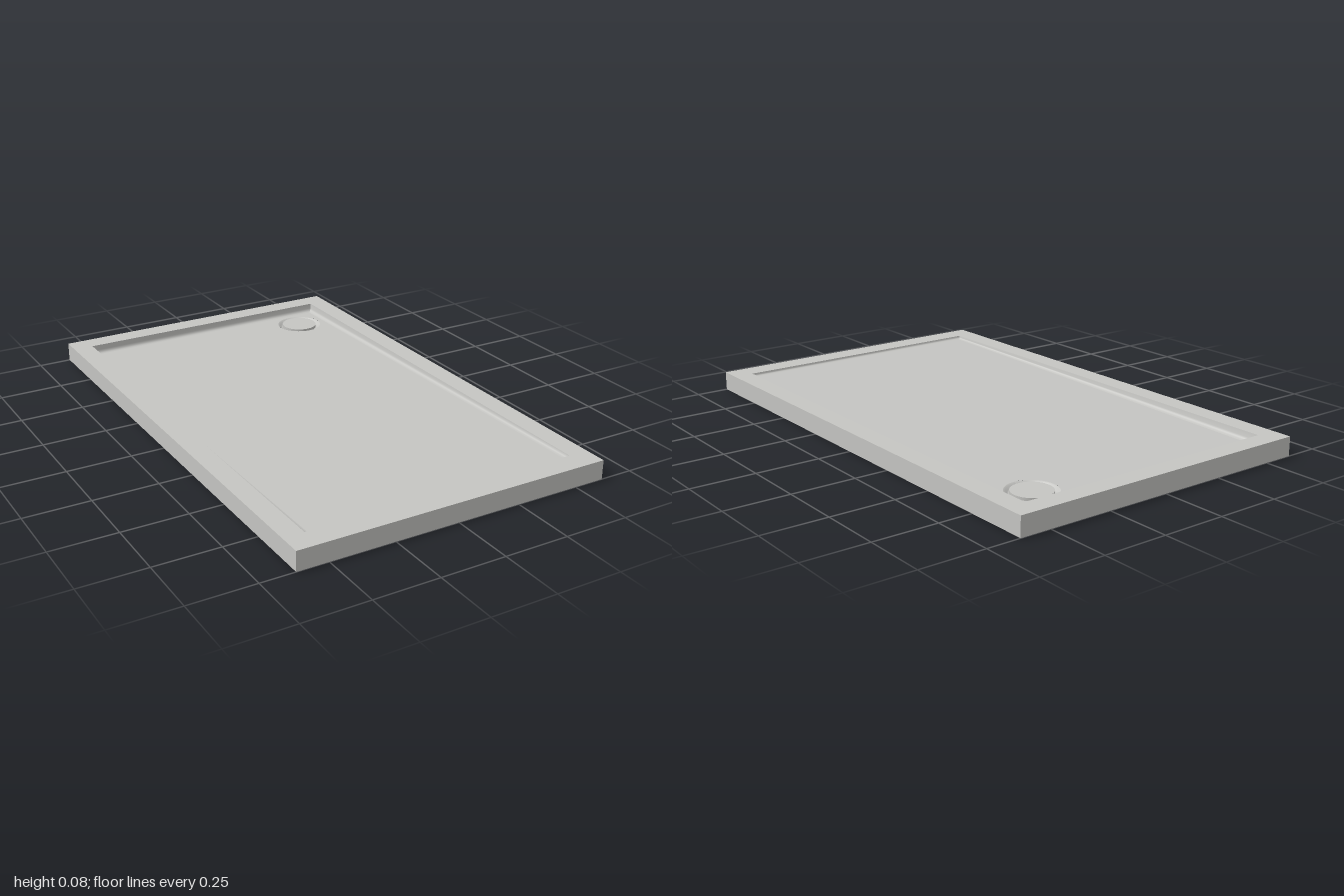
import * as THREE from 'three';

const HX = 0.62, HZ = 1, H = 0.075;                       // outer half sizes and height
const BASIN = { x0: -0.54, x1: 0.54, z0: -0.92, z1: 0.912 };
const DRAIN = { x: 0.405, z: -0.79, r: 0.075, dip: 0.095 };
const FILLET = 0.018;
const floorY = z => 0.052 + 0.013 * z;                    // floor falls towards the back

// Four strips (sharp corners, smooth profile) following a list of rectangle rings
function rectStrips(rings) {
  const pos = [], idx = [];
  for (let side = 0; side < 4; side++) {
    const base = pos.length / 3;
    for (const ring of rings) pos.push(...ring[side], ...ring[(side + 1) % 4]);
    for (let i = 0; i < rings.length - 1; i++) {
      const a = base + i * 2;
      idx.push(a, a + 2, a + 1, a + 1, a + 2, a + 3);
    }
  }
  const geo = new THREE.BufferGeometry();
  geo.setAttribute('position', new THREE.Float32BufferAttribute(pos, 3));
  geo.setIndex(idx);
  geo.computeVertexNormals();
  return geo;
}

// Corners of a rectangle, counter-clockwise from above, with height given by y(z)
function ring(x0, x1, z0, z1, y) {
  return [[x0, z1], [x1, z1], [x1, z0], [x0, z0]].map(([x, z]) => [x, y(z), z]);
}

function rectPath(path, x0, x1, z0, z1) {
  path.moveTo(x0, -z1);
  path.lineTo(x1, -z1);
  path.lineTo(x1, -z0);
  path.lineTo(x0, -z0);
  path.closePath();
  return path;
}

export function createModel() {
  const model = new THREE.Group();
  model.name = 'showerTray';
  const enamel = new THREE.MeshStandardMaterial({ color: 0xc5c5c2, side: THREE.DoubleSide });
  enamel.name = 'light grey enamel';
  const add = (name, geo) => {
    const mesh = new THREE.Mesh(geo, enamel);
    mesh.name = name;
    model.add(mesh);
    return mesh;
  };
  const { x0, x1, z0, z1 } = BASIN;

  // Outer skirt, open underneath
  add('skirt', rectStrips([H, 0].map(y => ring(-HX, HX, -HZ, HZ, () => y))));

  // Flat rim around the basin
  const rim = rectPath(new THREE.Shape(), -HX, HX, -HZ, HZ);
  rim.holes.push(rectPath(new THREE.Path(), x0, x1, z0, z1));
  add('rim', new THREE.ShapeGeometry(rim).rotateX(-Math.PI / 2).translate(0, H, 0));

  // Basin walls with a small fillet at the foot: [inset, share of depth]
  const profile = [[0, 0], [0.002, 0.6], [0.005, 0.82], [0.01, 0.95], [FILLET, 1]];
  add('basinWalls', rectStrips(profile.map(([d, t]) =>
    ring(x0 + d, x1 - d, z0 + d, z1 - d, z => H + (floorY(z) - H) * t)).reverse()));

  // Sloping floor with an opening for the drain
  const floor = rectPath(new THREE.Shape(), x0 + FILLET, x1 - FILLET, z0 + FILLET, z1 - FILLET);
  floor.holes.push(new THREE.Path().absarc(DRAIN.x, -DRAIN.z, DRAIN.dip, 0, Math.PI * 2, true));
  const floorGeo = new THREE.ShapeGeometry(floor, 48).rotateX(-Math.PI / 2);
  const p = floorGeo.attributes.position;
  for (let i = 0; i < p.count; i++) p.setY(i, floorY(p.getZ(i)));
  floorGeo.computeVertexNormals();
  add('floor', floorGeo);

  // Shallow dip around the drain, following the floor slope
  const dipProfile = [[0, -0.012], [0.076, -0.012], [0.082, -0.009], [0.088, -0.003], [DRAIN.dip, 0]]
    .map(([r, y]) => new THREE.Vector2(r, y));
  const dipGeo = new THREE.LatheGeometry(dipProfile, 48).translate(DRAIN.x, 0, DRAIN.z);
  const d = dipGeo.attributes.position;
  for (let i = 0; i < d.count; i++) d.setY(i, d.getY(i) + floorY(d.getZ(i)));
  dipGeo.computeVertexNormals();
  add('drainDip', dipGeo);

  // Round drain cover
  const cover = add('drainCover', new THREE.CylinderGeometry(DRAIN.r, DRAIN.r, 0.013, 48));
  cover.position.set(DRAIN.x, floorY(DRAIN.z) - 0.0045, DRAIN.z);

  return model;
}
